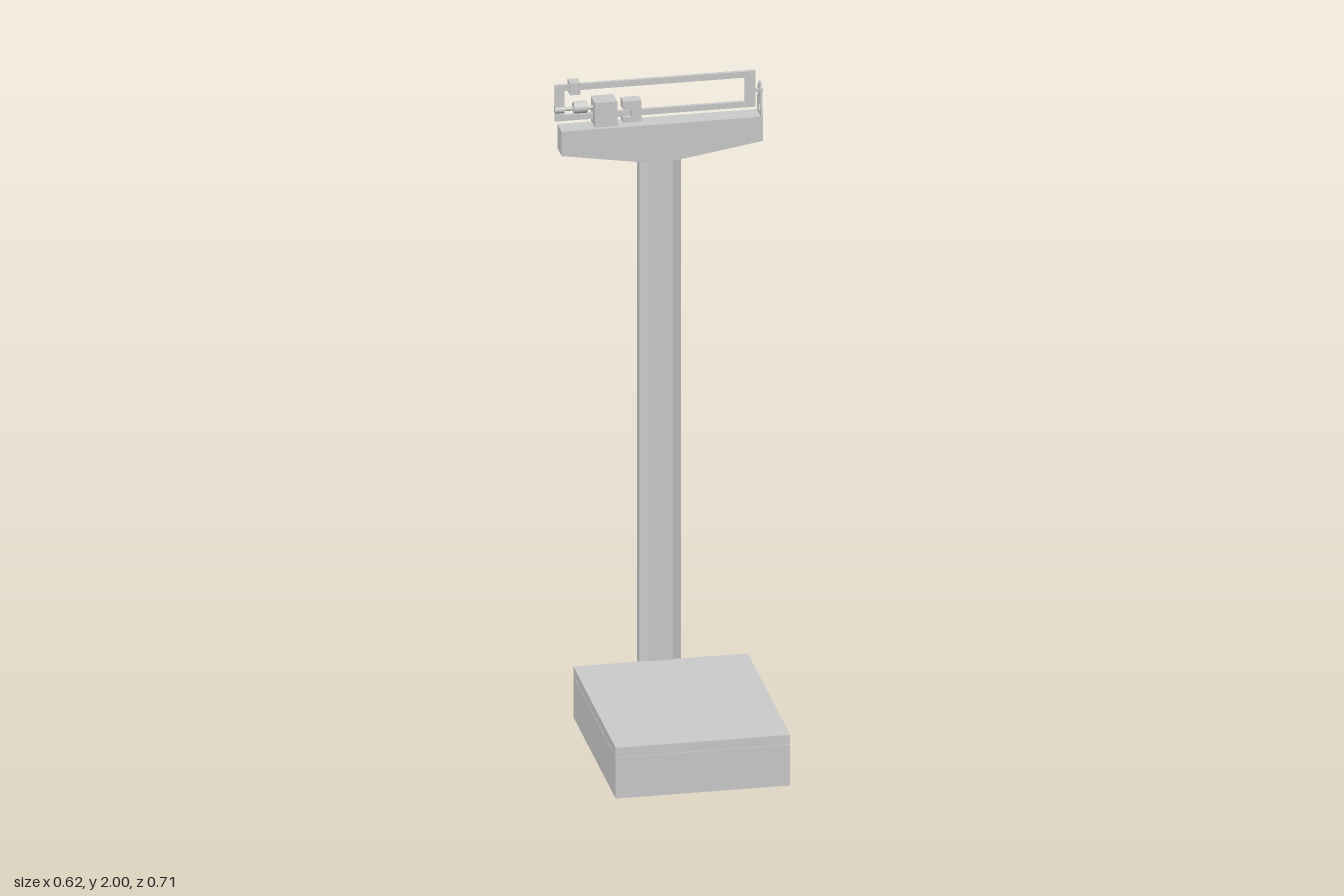
import * as THREE from 'three';

const Z = -0.309; // depth of the column, head and beam centre line

export function createModel() {
  const root = new THREE.Group();
  const mat = new THREE.MeshStandardMaterial({ color: 0xcccccc, flatShading: true });
  const smooth = new THREE.MeshStandardMaterial({ color: 0xcccccc });

  const add = (name, geo, parent = root, m = mat) => {
    const mesh = new THREE.Mesh(geo, m);
    mesh.name = name;
    parent.add(mesh);
    return mesh;
  };
  // box given by its x and y limits, depth and centre z
  const box = (name, x0, x1, y0, y1, depth, parent = root, z = Z) => {
    const mesh = add(name, new THREE.BoxGeometry(x1 - x0, y1 - y0, depth), parent);
    mesh.position.set((x0 + x1) / 2, (y0 + y1) / 2, z);
    return mesh;
  };
  const shape = (pts) => new THREE.Shape(pts.map(([a, b]) => new THREE.Vector2(a, b)));
  const extrude = (s, depth) => new THREE.ExtrudeGeometry(s, { depth, bevelEnabled: false });
  // extrude an (x, -z) outline upward from y0 to y1
  const upright = (name, pts, y0, y1) => {
    const mesh = add(name, extrude(shape(pts), y1 - y0).rotateX(-Math.PI / 2));
    mesh.position.y = y0;
    return mesh;
  };
  // cylinder lying along x
  const rod = (name, x0, x1, y, r, parent) => {
    const mesh = add(name, new THREE.CylinderGeometry(r, r, x1 - x0, 20).rotateZ(Math.PI / 2), parent, smooth);
    mesh.position.set((x0 + x1) / 2, y, Z);
    return mesh;
  };

  // base with tapered rear, and platform plate
  upright('base', [[-0.26, -0.355], [0.26, -0.355], [0.26, 0.283], [0.095, 0.355],
    [-0.095, 0.355], [-0.26, 0.283]], 0, 0.129);
  box('platform', -0.26, 0.26, 0.131, 0.16, 0.638, root, 0.036);
  box('platformCore', -0.257, 0.257, 0.125, 0.135, 0.632, root, 0.036);

  // column with chamfered corners
  upright('column', [[-0.037, 0.28], [0.037, 0.28], [0.062, 0.29], [0.062, 0.322],
    [0.037, 0.332], [-0.037, 0.332], [-0.062, 0.322], [-0.062, 0.29]], 0.125, 1.75);

  // head
  const head = add('head', extrude(shape([[-0.296, 1.855], [-0.296, 1.778], [-0.06, 1.74],
    [0.06, 1.74], [0.3, 1.778], [0.3, 1.855]]), 0.062));
  head.position.z = -0.34;

  // beam: a long thin frame
  const beam = new THREE.Group();
  beam.name = 'beam';
  root.add(beam);
  box('upperBar', -0.31, 0.287, 1.972, 1.991, 0.011, beam);
  box('lowerBar', -0.31, 0.287, 1.878, 1.896, 0.011, beam);
  box('rightPost', 0.256, 0.287, 1.896, 1.972, 0.011, beam);
  box('leftPost', -0.31, -0.283, 1.896, 1.972, 0.011, beam);
  box('pointer', 0.287, 0.31, 1.923, 1.932, 0.009, beam);

  // balance screw at the left end
  const screw = new THREE.Group();
  screw.name = 'balanceScrew';
  root.add(screw);
  rod('screwRod', -0.31, -0.19, 1.913, 0.006, screw);
  rod('screwEnd', -0.311, -0.283, 1.913, 0.011, screw);
  rod('balanceWeight', -0.255, -0.215, 1.916, 0.018, screw);

  // sliding weights
  box('upperPoise', -0.268, -0.238, 1.963, 2.0, 0.038);
  box('largePoise', -0.197, -0.13, 1.86, 1.937, 0.06);
  const small = new THREE.Group();
  small.name = 'smallPoise';
  root.add(small);
  box('smallPoiseTop', -0.11, -0.056, 1.904, 1.93, 0.038, small);
  box('smallPoiseBottom', -0.11, -0.056, 1.864, 1.88, 0.038, small);
  box('smallPoiseBody', -0.085, -0.056, 1.88, 1.904, 0.038, small);

  // pointed guide bracket at the right end of the head
  const plate = shape([[-0.031, 1.778], [0.031, 1.778], [0.031, 1.855], [0.02, 1.94],
    [0.009, 1.94], [0.009, 1.955], [-0.009, 1.955], [-0.009, 1.94], [-0.02, 1.94], [-0.031, 1.855]]);
  plate.holes.push(new THREE.Path([[-0.019, 1.866], [0.019, 1.866], [0.007, 1.936],
    [-0.007, 1.936]].map(([a, b]) => new THREE.Vector2(a, b))));
  const bracket = add('guideBracket', extrude(plate, 0.006).rotateY(Math.PI / 2));
  bracket.position.set(0.298, 0, Z);

  return root;
}
